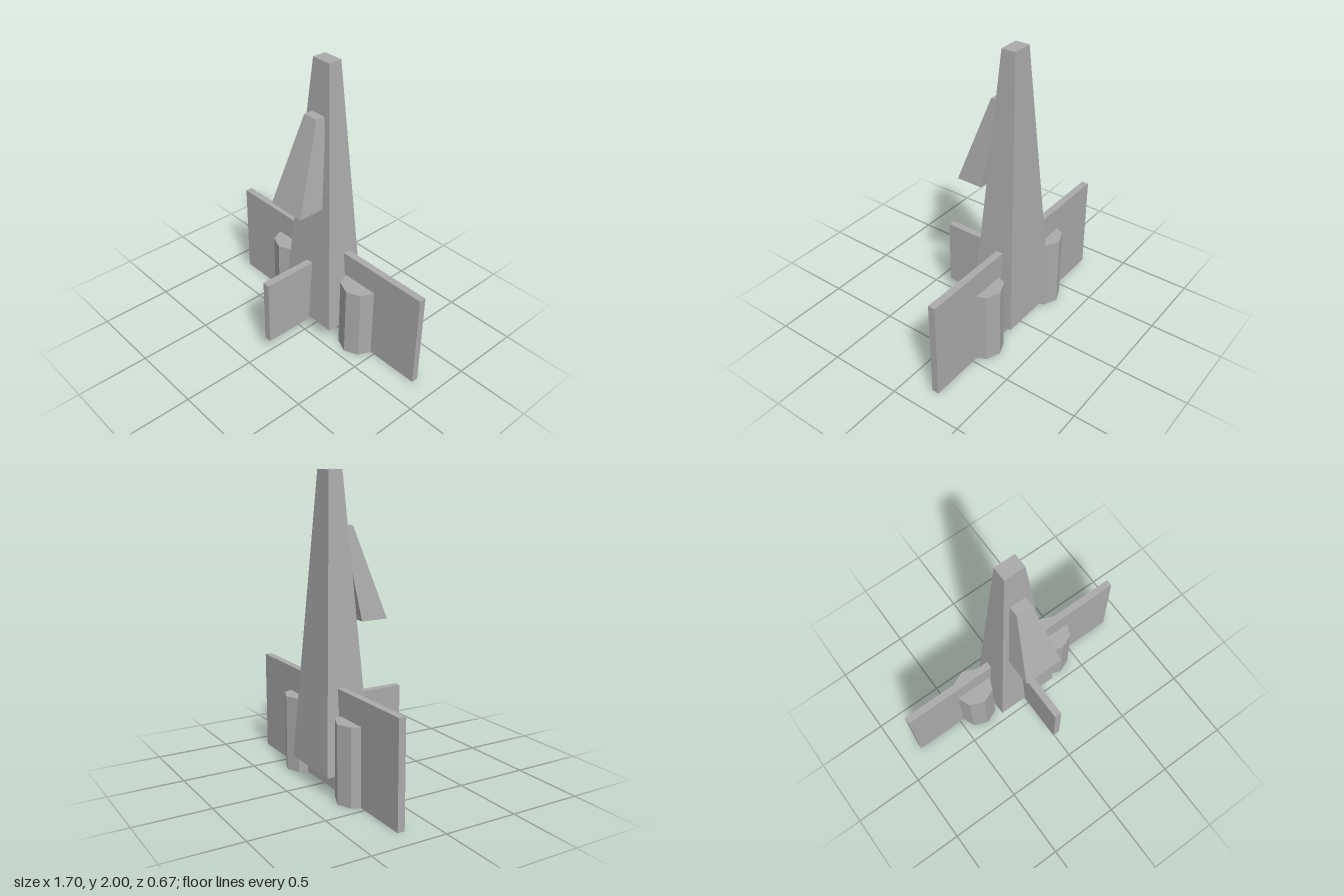
import * as THREE from 'three';

const hullGrey = new THREE.MeshStandardMaterial({ color: 0xaaaaaa });
hullGrey.name = 'hullGrey';

function box(w, h, d) {
  return new THREE.BoxGeometry(w, h, d).toNonIndexed();
}

// Four-sided block tapering from a bottom rectangle to a top one.
// Each end is { y, w, back, front }.
function taperedBlock(bottom, top) {
  const geo = box(1, 1, 1);
  const p = geo.attributes.position;
  for (let i = 0; i < p.count; i++) {
    const end = p.getY(i) > 0 ? top : bottom;
    p.setXYZ(i, p.getX(i) * end.w, end.y, p.getZ(i) > 0 ? end.front : end.back);
  }
  geo.computeVertexNormals();
  return geo;
}

export function createModel() {
  const model = new THREE.Group();
  model.name = 'rocketPlane';

  function add(name, geo, x = 0, y = 0, z = 0) {
    const mesh = new THREE.Mesh(geo, hullGrey);
    mesh.name = name;
    mesh.position.set(x, y, z);
    model.add(mesh);
  }

  // Tall tapering body, nose up
  add('fuselage', taperedBlock(
    { y: 0.13, w: 0.46, back: -0.335, front: -0.017 },
    { y: 2, w: 0.14, back: -0.222, front: -0.127 }));

  // Wedge cockpit leaning against the front of the body
  add('cockpit', taperedBlock(
    { y: 1.07, w: 0.27, back: -0.026, front: 0.158 },
    { y: 1.66, w: 0.108, back: -0.117, front: -0.043 }));

  // One flat wing slab running through the body
  add('wing', box(1.7, 0.68, 0.048), 0, 0.34, -0.207);

  // Upright fin on the front face
  add('fin', box(0.05, 0.47, 0.435), 0, 0.345, 0.118);

  // Eight-sided engines on either side
  for (const side of [-1, 1]) {
    const engine = new THREE.CylinderGeometry(0.135, 0.135, 0.512, 8).toNonIndexed();
    engine.computeVertexNormals();
    add(side > 0 ? 'leftEngine' : 'rightEngine', engine, side * 0.338, 0.256, -0.192);
  }
  return model;
}
